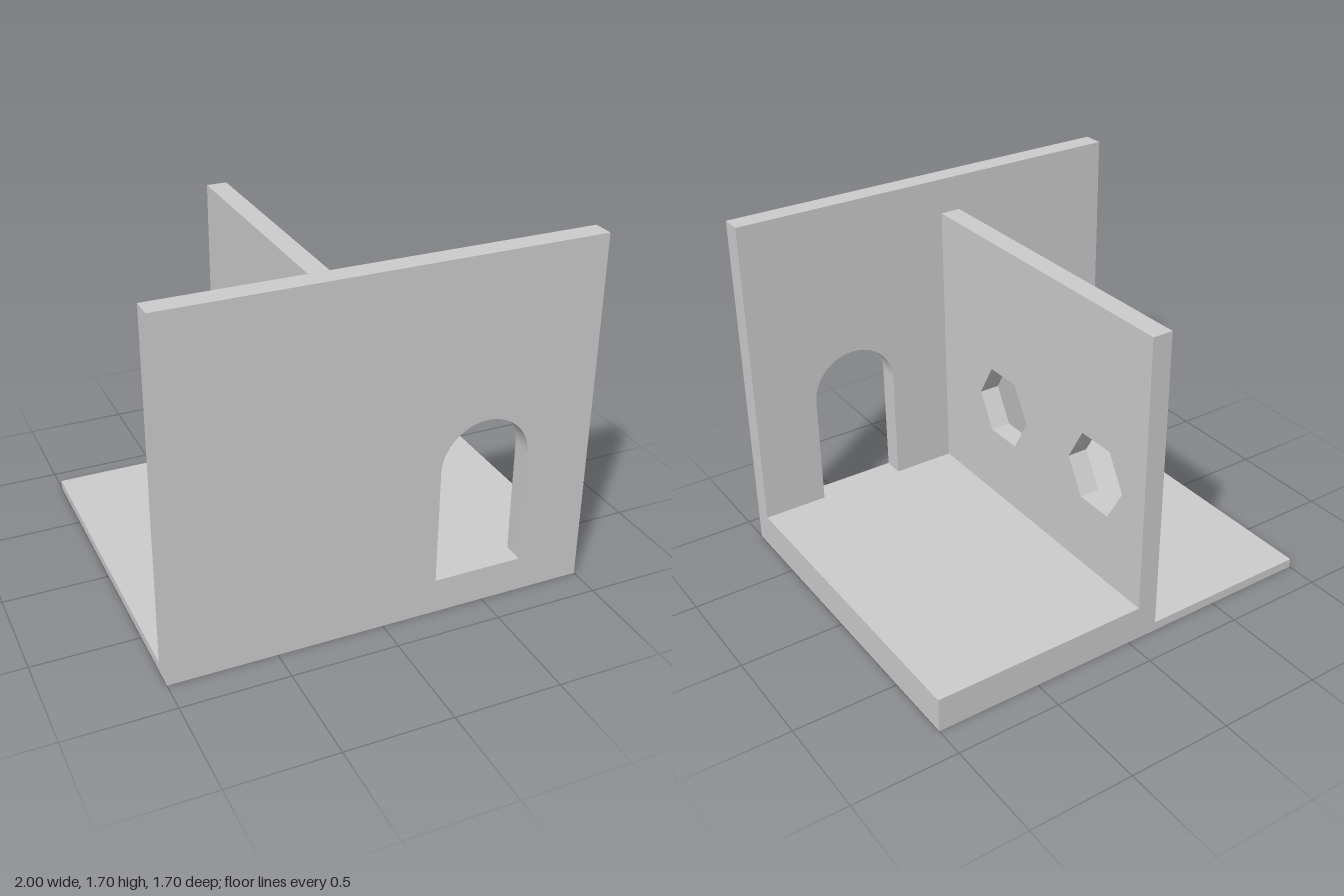
import * as THREE from 'three';
import { toCreasedNormals } from 'three/addons/utils/BufferGeometryUtils.js';

const W = 1, D = 0.848;                 // half width, half depth
const T = 0.1;                          // wall thickness
const WALL_H = 1.697, DIVIDER_H = 1.525;
const FLOOR_HIGH = 0.168, FLOOR_LOW = 0.045;
const INNER_Z = D - T;                  // back face of the front wall
const DIV_X = -0.052;                   // left face of the divider

const material = new THREE.MeshStandardMaterial({ color: 0xcccccc });

const polygon = (points) => new THREE.Shape(points.map(([x, y]) => new THREE.Vector2(x, y)));

function rectangle(x0, y0, x1, y1) {
  return polygon([[x0, y0], [x1, y0], [x1, y1], [x0, y1]]);
}

// Flat plate cut from a shape, with sharp edges and smooth arcs
function plate(name, shape, depth) {
  const geometry = new THREE.ExtrudeGeometry(shape, { depth, bevelEnabled: false, curveSegments: 24 });
  const mesh = new THREE.Mesh(toCreasedNormals(geometry, 0.5), material);
  mesh.name = name;
  return mesh;
}

// Round-topped doorway standing on the high floor
function archHole(cx, bottom, top, r) {
  const hole = new THREE.Path();
  hole.moveTo(cx - r, bottom);
  hole.lineTo(cx + r, bottom);
  hole.lineTo(cx + r, top - r);
  hole.absarc(cx, top - r, r, 0, Math.PI, false);
  hole.closePath();
  return hole;
}

// Hexagonal window with corners pointing sideways
function hexHole(cx, cy, r) {
  const points = [];
  for (let i = 0; i < 6; i++) {
    const a = (i * Math.PI) / 3;
    points.push(new THREE.Vector2(cx + r * Math.cos(a), cy + r * Math.sin(a)));
  }
  return new THREE.Path(points);
}

export function createModel() {
  const model = new THREE.Group();
  model.name = 'roomCorner';

  // Front wall with arched doorway
  const wallShape = rectangle(-W, 0, W, WALL_H);
  wallShape.holes.push(archHole(0.472, FLOOR_HIGH, 0.933, 0.214));
  const wall = plate('frontWall', wallShape, T);
  wall.position.z = INNER_Z;
  model.add(wall);

  // Floor: thin on the right of the divider, thick on the left
  const floorShape = polygon([
    [-W, 0], [W, 0], [W, FLOOR_HIGH], [DIV_X - T / 2, FLOOR_HIGH],
    [DIV_X - T / 2, FLOOR_LOW], [-W, FLOOR_LOW],
  ]);
  const floor = plate('steppedFloor', floorShape, INNER_Z + D);
  floor.position.z = -D;
  model.add(floor);

  // Divider with two hexagonal windows, drawn in (z, y) and turned sideways
  const dividerShape = rectangle(-D, FLOOR_LOW, INNER_Z, DIVIDER_H);
  for (const z of [0.228, -0.5]) dividerShape.holes.push(hexHole(z, 0.693, 0.196));
  const divider = plate('divider', dividerShape, T);
  divider.rotation.y = -Math.PI / 2;
  divider.position.x = DIV_X;
  model.add(divider);

  return model;
}
